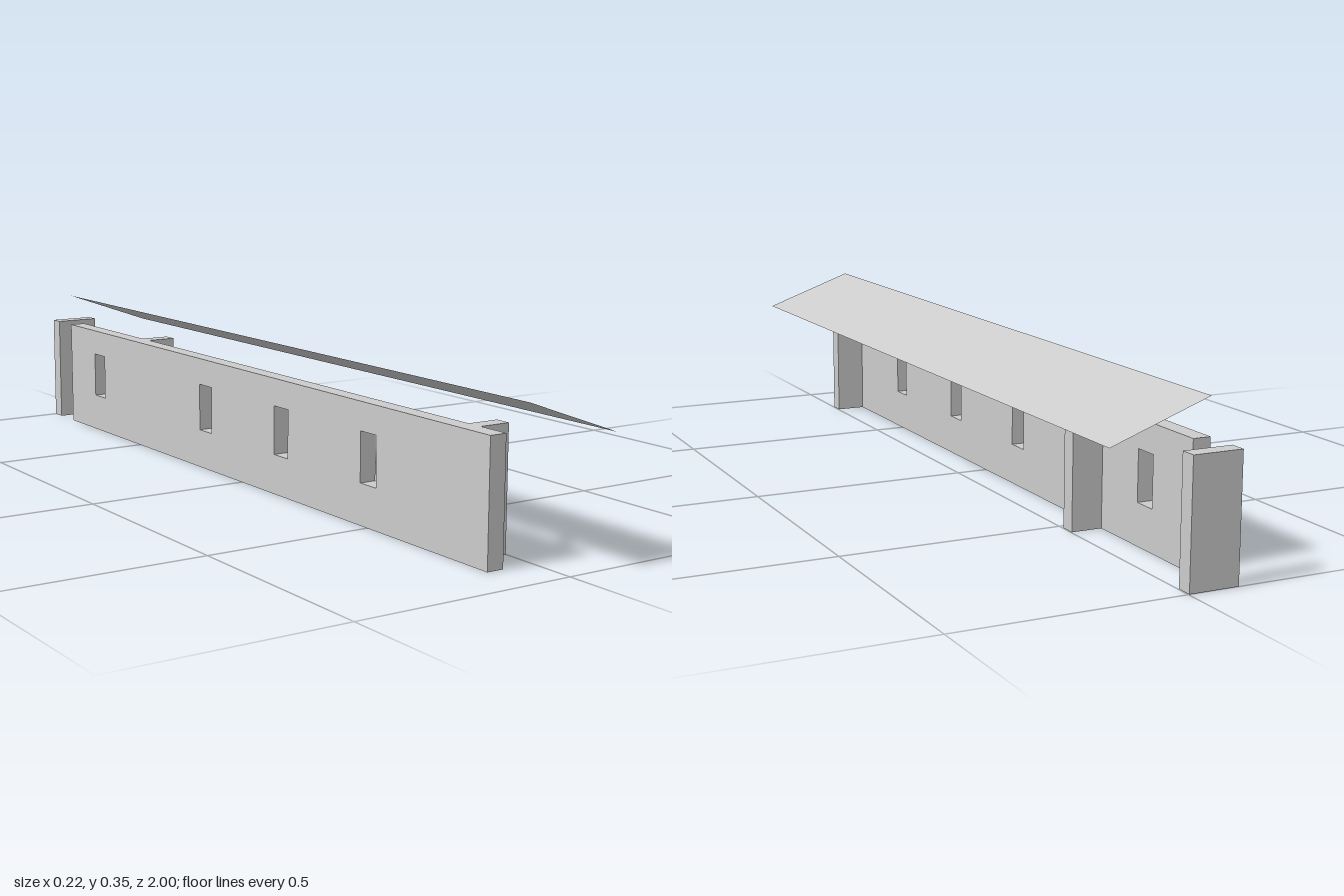
import * as THREE from 'three';

const HEIGHT = 0.267;
const BACK = -0.112; // outer face of the wall
const FACE = -0.073; // inner face of the wall
const REACH = -0.002; // inner ends of the cross walls

export function createModel() {
  const group = new THREE.Group();
  const material = new THREE.MeshStandardMaterial({ color: 0xcccccc, flatShading: true });
  const add = (name, geometry, mat = material) => {
    const mesh = new THREE.Mesh(geometry, mat);
    mesh.name = name;
    group.add(mesh);
  };

  // Long wall with window openings, drawn in the z-y plane
  const rect = (target, z0, z1, y0, y1) =>
    target.moveTo(z0, y0).lineTo(z1, y0).lineTo(z1, y1).lineTo(z0, y1).closePath();
  const outline = rect(new THREE.Shape(), -0.89, 0.892, 0, HEIGHT);
  for (const z of [0.502, 0.168, -0.165, -0.721]) {
    outline.holes.push(rect(new THREE.Path(), z - 0.028, z + 0.028, 0.092, 0.204));
  }
  const wall = new THREE.ExtrudeGeometry(outline, { depth: FACE - BACK, bevelEnabled: false });
  wall.rotateY(-Math.PI / 2).translate(FACE, 0, 0);
  add('longWall', wall);

  // Short cross walls, and the detached end pier
  const crossWall = (name, x0, z) => {
    const box = new THREE.BoxGeometry(REACH - x0, HEIGHT, 0.036);
    add(name, box.translate((x0 + REACH) / 2, HEIGHT / 2, z));
  };
  crossWall('frontCrossWall', FACE, 0.798);
  crossWall('rearCrossWall', FACE, -0.533);
  crossWall('endPier', BACK, -0.982);

  // Thin sloping roof sheet, high over the wall
  const high = 0.347, low = 0.267, left = 0.111;
  const roof = new THREE.PlaneGeometry(Math.hypot(left - BACK, high - low), 1.89);
  roof.rotateX(-Math.PI / 2).rotateZ(-Math.atan2(high - low, left - BACK));
  roof.translate((left + BACK) / 2, (high + low) / 2, 0.055);
  const sheet = material.clone();
  sheet.side = THREE.DoubleSide;
  add('roof', roof, sheet);

  return group;
}
